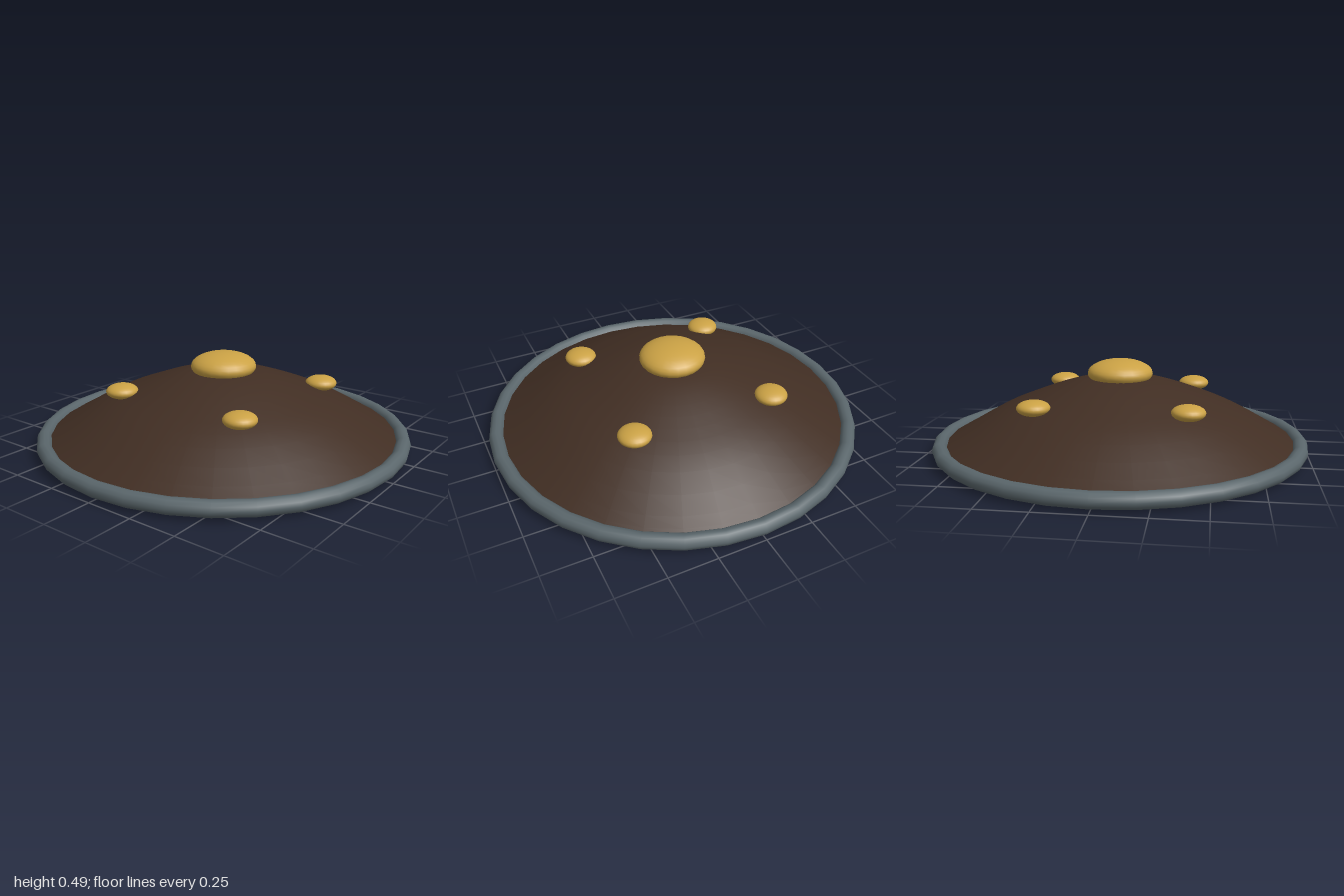
import * as THREE from 'three';
import { toCreasedNormals } from 'three/addons/utils/BufferGeometryUtils.js';

const material = (name, color) => {
  const m = new THREE.MeshStandardMaterial({ color });
  m.name = name;
  return m;
};

// Smooth a short list of [radius, height] points into a lathe profile
const curve = (points, n) =>
  new THREE.SplineCurve(points.map(([r, y]) => new THREE.Vector2(r, y))).getPoints(n);

export function createModel() {
  const group = new THREE.Group();
  group.name = 'roundShield';
  const wood = material('darkWood', 0x412e23);
  const steel = material('steel', 0x5a666b);
  const brass = material('brass', 0xcba245);
  const leather = material('leather', 0x8a6040);

  const add = (name, geometry, mat, x, y, z) => {
    const mesh = new THREE.Mesh(geometry, mat);
    mesh.name = name;
    mesh.position.set(x, y, z);
    group.add(mesh);
    return mesh;
  };

  // Domed body: thick shell, hollow underneath
  const inner = curve([[0, 0.36], [0.16, 0.35], [0.3, 0.317], [0.46, 0.257], [0.64, 0.175], [0.85, 0.06]], 14);
  const outer = curve([[0.94, 0.06], [0.88, 0.093], [0.65, 0.222], [0.47, 0.297], [0.3, 0.357], [0.16, 0.39], [0, 0.4]], 16);
  inner[0].x = outer[16].x = 0;
  const profile = [...inner, new THREE.Vector2(0.88, 0.01), new THREE.Vector2(0.94, 0.01), ...outer];
  add('dome', toCreasedNormals(new THREE.LatheGeometry(profile, 32), 0.6), wood, 0, 0, 0);

  // Metal rim
  const rim = new THREE.TorusGeometry(0.96, 0.04, 12, 32).rotateX(Math.PI / 2);
  add('rim', rim, steel, 0, 0.052, 0);

  // Central boss and four studs, as flattened balls
  const ball = (r, h) => new THREE.SphereGeometry(r, 24, 16).scale(1, h / r, 1);
  add('boss', ball(0.175, 0.075), brass, 0, 0.415, 0);
  const stud = ball(0.085, 0.04);
  for (const x of [-1, 1]) {
    for (const z of [-1, 1]) add('stud', stud, brass, x * 0.383, 0.297, z * 0.383);
  }

  // Two flattened arm loops inside the hollow
  const loop = new THREE.TorusGeometry(0.223, 0.026, 10, 32).scale(1, 0.3, 1);
  for (const z of [-1, 1]) add('armLoop', loop, leather, 0, 0.075, z * 0.262);

  return group;
}
